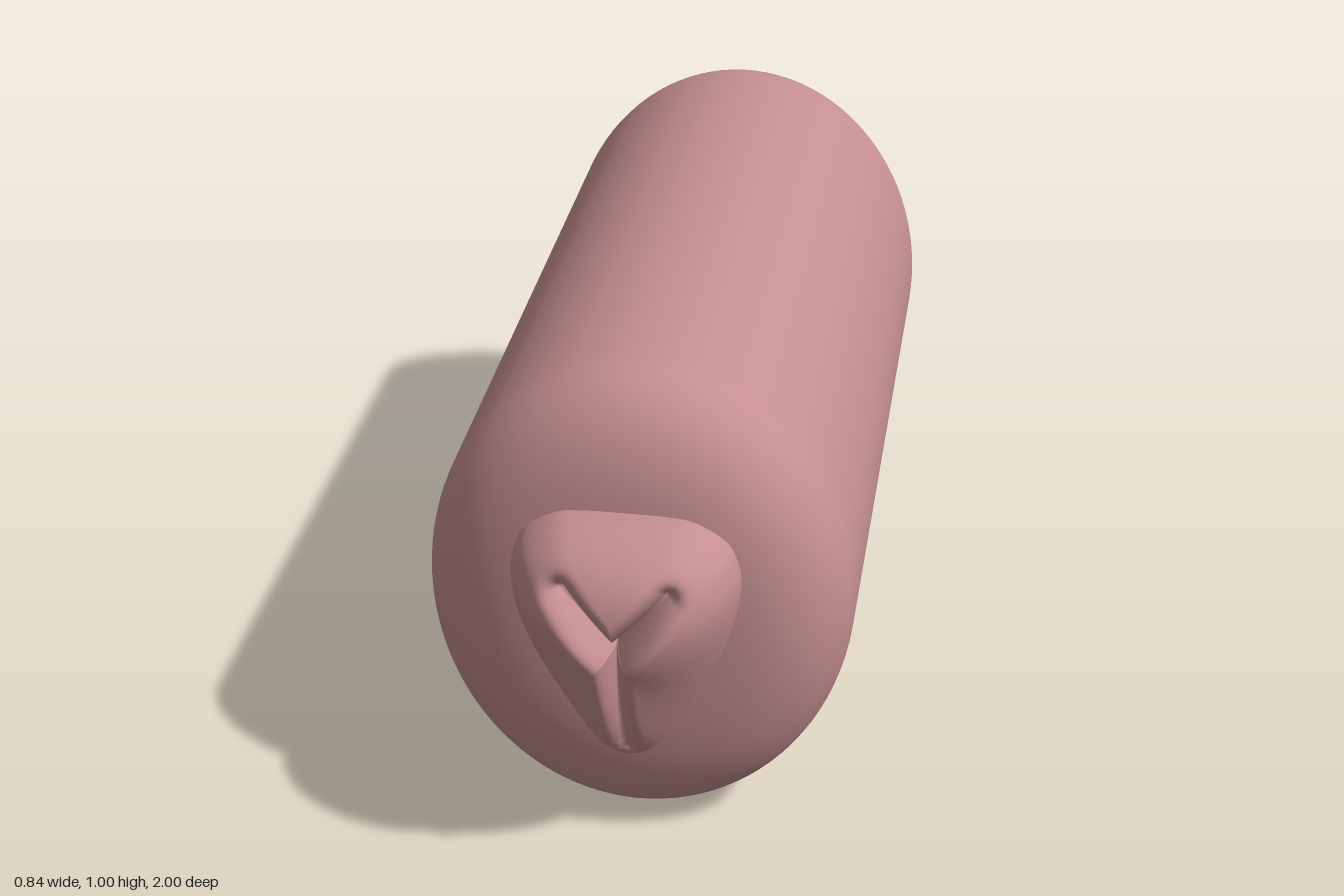
import * as THREE from 'three';

const CENTRE_Y = 0.55; // where the three grooves meet
const ARM = THREE.MathUtils.degToRad(50.625);

// Elliptical body: lathe profile with superelliptic end caps, laid along z
function bodyGeometry() {
  const pts = [];
  const n = 28;
  const cap = (r, p) => Math.sqrt(Math.max(0, 1 - Math.pow(r, p)));
  for (let i = 0; i <= n; i++) {
    const r = Math.sin((i / n) * Math.PI / 2);
    pts.push(new THREE.Vector2(r, -0.8 - 0.2 * cap(r, 2.4)));
  }
  for (let i = n; i >= 0; i--) {
    const r = Math.sin((i / n) * Math.PI / 2);
    pts.push(new THREE.Vector2(r, 0.63 + 0.2 * cap(r, 3.7)));
  }
  const g = new THREE.LatheGeometry(pts, 96);
  g.rotateX(Math.PI / 2);
  g.scale(0.42, 0.5, 1);
  g.translate(0, 0.5, 0);
  return g;
}

// Half outline of the relief, measured from the groove junction, top to bottom
const outline = new THREE.SplineCurve([
  [0, 0.22], [0.07, 0.218], [0.13, 0.208], [0.19, 0.17], [0.215, 0.12], [0.22, 0.07], [0.21, 0],
  [0.185, -0.08], [0.15, -0.16], [0.1, -0.25], [0.06, -0.31], [0.03, -0.335], [0, -0.343],
].map(([x, y]) => new THREE.Vector2(x, y))).getPoints(240)
  .map(p => ({ angle: Math.atan2(p.y, Math.max(0, p.x)), radius: p.length() }));

function outlineRadius(angle) {
  for (let i = 1; i < outline.length; i++) {
    const a = outline[i - 1], b = outline[i];
    if (angle >= b.angle) {
      const k = (a.angle - angle) / Math.max(1e-6, a.angle - b.angle);
      return THREE.MathUtils.lerp(a.radius, b.radius, THREE.MathUtils.clamp(k, 0, 1));
    }
  }
  return outline[outline.length - 1].radius;
}

// Depth of a groove running from the junction in a given direction
function groove(x, y, angle, length, width, depth, taper) {
  const dx = Math.cos(angle), dy = Math.sin(angle);
  const s = THREE.MathUtils.clamp(x * dx + y * dy, 0, length);
  const d = Math.hypot(x - s * dx, y - s * dy);
  if (d >= width) return 0;
  return depth * (1 - taper * s / length) * Math.pow(1 - d / width, 2.2);
}

// Domed shield with a Y of grooves, on a polar grid aligned with them
function reliefGeometry() {
  const rings = 90, segs = 192;
  const pos = [], index = [];
  for (let i = 0; i <= rings; i++) {
    const u = i / rings;
    const t = Math.sin(u * Math.PI / 2);
    for (let j = 0; j < segs; j++) {
      const a = (j / segs) * Math.PI * 2;
      const ux = Math.cos(a), uy = Math.sin(a);
      const r = t * outlineRadius(Math.atan2(uy, Math.abs(ux)));
      const x = r * ux, y = r * uy;
      // full and round at the top, sloping away toward the bottom
      const up = Math.max(0, uy), down = Math.max(0, -uy);
      const p = 2 + up - 0.8 * down;
      const q = 0.6 - 0.1 * up + 0.1 * down;
      const dome = Math.pow(Math.max(0, 1 - Math.pow(t, p)), q);
      const cut = Math.max(
        groove(Math.abs(x), y, ARM, 0.155, 0.055, 0.1, 0.45),
        groove(x, y, -Math.PI / 2, 0.31, 0.04, 0.085, 0.6));
      const fade = Math.min(1, dome * 3);
      pos.push(x, CENTRE_Y + y, 0.802 + 0.2 * dome - cut * fade);
    }
  }
  for (let i = 0; i < rings; i++) {
    for (let j = 0; j < segs; j++) {
      const k = (j + 1) % segs;
      const a = i * segs + j, b = a + segs, c = (i + 1) * segs + k, d = i * segs + k;
      index.push(a, b, c);
      if (i > 0) index.push(a, c, d);
    }
  }
  const g = new THREE.BufferGeometry();
  g.setAttribute('position', new THREE.Float32BufferAttribute(pos, 3));
  g.setIndex(index);
  g.computeVertexNormals();
  return g;
}

export function createModel() {
  const model = new THREE.Group();
  const rose = new THREE.MeshStandardMaterial({ color: 0xc48e90 });
  rose.name = 'dusty rose';

  const add = (name, geometry) => {
    const mesh = new THREE.Mesh(geometry, rose);
    mesh.name = name;
    model.add(mesh);
  };
  add('body', bodyGeometry());
  add('frontRelief', reliefGeometry());
  return model;
}
